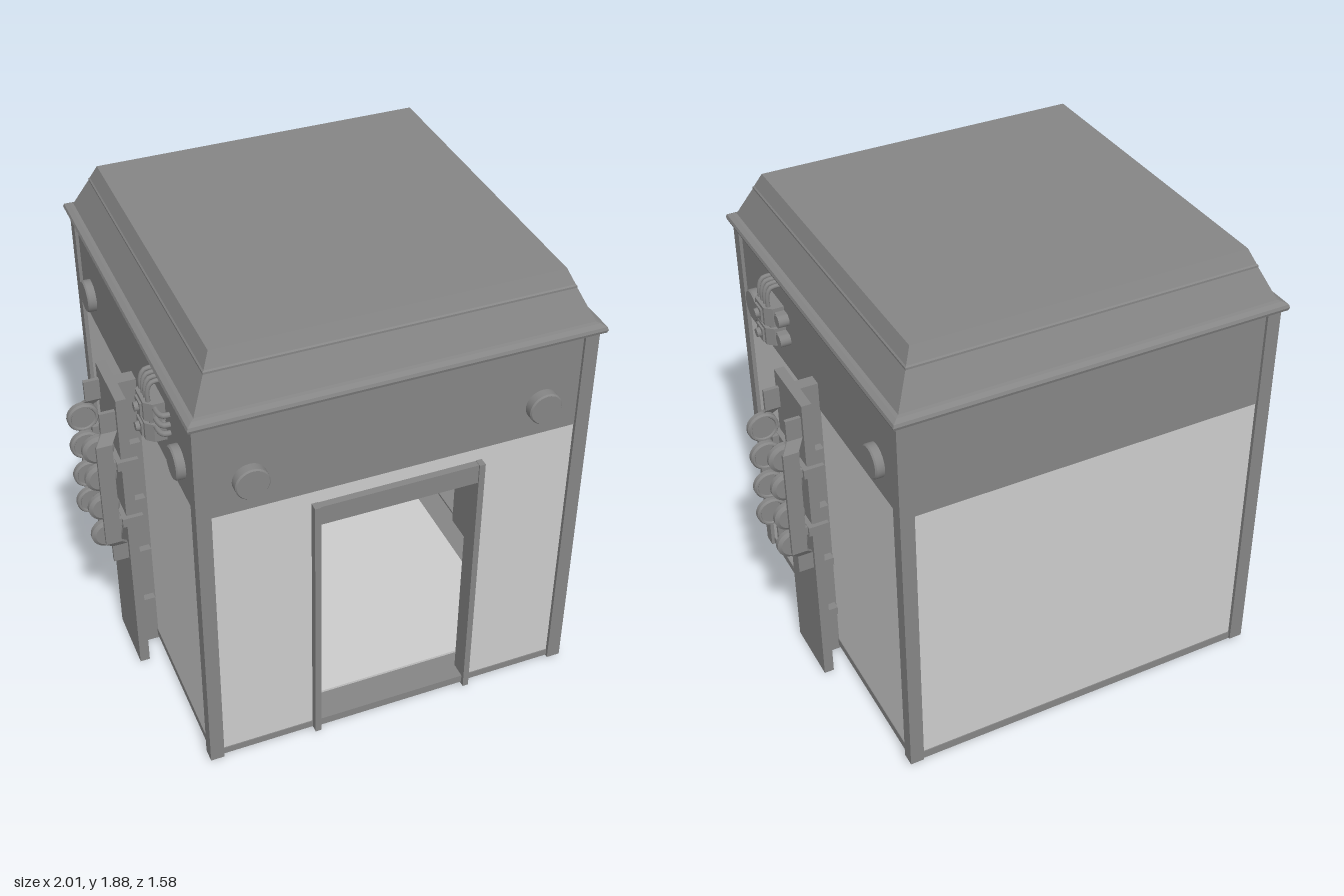
import * as THREE from 'three';
import { toCreasedNormals } from 'three/addons/utils/BufferGeometryUtils.js';

const light = new THREE.MeshStandardMaterial({ color: 0xcccccc });
const dark = new THREE.MeshStandardMaterial({ color: 0x858585 });
const V = (x, y, z) => new THREE.Vector3(x, y, z);

// Box given by its minimum and maximum on each axis
function box(x0, x1, y0, y1, z0, z1) {
  return new THREE.BoxGeometry(x1 - x0, y1 - y0, z1 - z0)
    .translate((x0 + x1) / 2, (y0 + y1) / 2, (z0 + z1) / 2);
}

function turned(profile, segments = 24) {
  const points = profile.map(([r, y]) => new THREE.Vector2(r, y));
  return toCreasedNormals(new THREE.LatheGeometry(points, segments), 0.6);
}

function tube(points, radius) {
  return new THREE.TubeGeometry(new THREE.CatmullRomCurve3(points), 10, radius, 8);
}

// Reflection in x with the triangle winding restored
function mirrored(geo) {
  const g = geo.index ? geo.toNonIndexed() : geo.clone();
  g.scale(-1, 1, 1);
  for (const attr of Object.values(g.attributes)) {
    const n = attr.itemSize, a = attr.array;
    for (let i = 0; i < attr.count; i += 3) {
      for (let k = 0; k < n; k++) {
        const p = (i + 1) * n + k, q = (i + 2) * n + k;
        [a[p], a[q]] = [a[q], a[p]];
      }
    }
  }
  return g;
}

function add(parent, name, geo, mat = dark) {
  const mesh = new THREE.Mesh(geo, mat);
  mesh.name = name;
  parent.add(mesh);
  return mesh;
}

// Bar that bows outward between its two ends
function bowedRail(side) {
  const path = [
    [0.895, 0.57, 0.108], [0.895, 0.65, 0.108], [0.925, 0.69, 0.136],
    [0.925, 1.17, 0.136], [0.895, 1.21, 0.108], [0.895, 1.3, 0.108],
  ];
  const g = new THREE.BoxGeometry(0.062, 5, 0.016, 1, 5, 1);
  const p = g.attributes.position;
  for (let i = 0; i < p.count; i++) {
    const [x, y, z] = path[Math.round(p.getY(i) + 2.5)];
    p.setXYZ(i, p.getX(i) + x, y, p.getZ(i) + z * side);
  }
  return toCreasedNormals(g, 0.3);
}

export function createModel() {
  const model = new THREE.Group();
  model.name = 'hut';
  const body = new THREE.Group();
  body.name = 'body';
  body.position.set(-0.006, 0, -0.008);
  model.add(body);
  const both = (name, geo, mat) => {
    add(body, name + 'Left', geo, mat);
    add(body, name + 'Right', mirrored(geo), mat);
  };

  // Floor and skirting
  add(body, 'floorBase', box(-0.755, 0.755, 0.02, 0.045, -0.752, 0.752));
  add(body, 'floorSlab', box(-0.62, 0.62, 0.045, 0.055, -0.62, 0.62), light);
  both('sideSkirting', box(0.725, 0.755, 0.03, 0.055, -0.74, 0.74));
  add(body, 'backSkirting', box(-0.74, 0.74, 0.03, 0.055, -0.752, -0.72));

  // Walls: pale lower panels, dark upper band
  both('sideWall', box(0.732, 0.752, 0.05, 1.24, -0.74, 0.74), light);
  both('sideBand', box(0.732, 0.755, 1.24, 1.655, -0.74, 0.74));
  add(body, 'backWall', box(-0.74, 0.74, 0.05, 1.24, -0.748, -0.728), light);
  add(body, 'backBand', box(-0.74, 0.74, 1.24, 1.655, -0.751, -0.728));
  add(body, 'frontBand', box(-0.74, 0.74, 1.24, 1.655, 0.728, 0.751));

  // Front wall with doorway
  const front = new THREE.Shape([[-0.74, 0.045], [-0.33, 0.045], [-0.33, 1.17], [0.33, 1.17],
    [0.33, 0.045], [0.74, 0.045], [0.74, 1.24], [-0.74, 1.24]].map(([x, y]) => new THREE.Vector2(x, y)));
  add(body, 'frontWall', new THREE.ExtrudeGeometry(front, { depth: 0.02, bevelEnabled: false })
    .translate(0, 0, 0.728), light);
  both('frontSkirting', box(0.33, 0.74, 0.025, 0.05, 0.72, 0.752));

  // Door frame
  both('doorJamb', box(0.312, 0.336, 0.02, 1.185, 0.7, 0.782));
  add(body, 'doorLintel', box(-0.312, 0.312, 1.1, 1.183, 0.705, 0.776));
  add(body, 'doorSill', box(-0.312, 0.312, 0.03, 0.065, 0.705, 0.765));

  // Corner posts
  for (const s of [-1, 1]) {
    const z = 0.735 * s;
    both(s > 0 ? 'frontCornerPost' : 'backCornerPost',
      box(0.712, 0.768, s > 0 ? 0.015 : 0.025, 1.66, z - 0.028, z + 0.028));
  }

  // Stepped roof on a rounded rim
  const roofMat = dark.clone();
  roofMat.flatShading = true;
  const profile = [[0, 1.645], [0.765, 1.645], [0.783, 1.654], [0.787, 1.666], [0.783, 1.678],
    [0.765, 1.687], [0.752, 1.69], [0.695, 1.812], [0.695, 1.82], [0.69, 1.825], [0.664, 1.882], [0, 1.882]]
    .map(([h, y]) => new THREE.Vector2(h * Math.SQRT2, y));
  add(body, 'roof', new THREE.LatheGeometry(profile, 4, Math.PI / 4).toNonIndexed(), roofMat);

  // Round wall lamps on the front and the sides
  const lamp = turned([[0, 0], [0.065, 0], [0.065, 0.036], [0.06, 0.042], [0, 0.042]], 32);
  both('frontLamp', lamp.clone().rotateX(Math.PI / 2).translate(0.565, 1.375, 0.748));
  for (const z of [0.57, -0.56]) {
    both('sideLamp', lamp.clone().rotateZ(-Math.PI / 2).translate(0.748, 1.375, z));
  }

  // H-section beam through each side wall
  both('beamOuterFlange', box(0.825, 0.865, 0, 1.36, -0.133, 0.137));
  both('beamWeb', box(0.745, 0.83, 0, 1.36, -0.025, 0.03));
  both('beamInnerFlange', box(0.705, 0.745, 0, 1.36, -0.133, 0.137));
  for (const y of [0.245, 0.515]) both('beamLug', box(0.76, 0.83, y - 0.018, y + 0.018, -0.06, 0.06));
  for (const y of [0.785, 1.065]) {
    both('clampBar', box(0.862, 0.885, y - 0.02, y + 0.02, -0.155, 0.155));
    both('clampInner', box(0.765, 0.825, y - 0.02, y + 0.02, -0.06, 0.06));
    for (const s of [-1, 1]) {
      const z = 0.146 * s;
      both('clampArm', box(0.802, 0.885, y - 0.02, y + 0.02, z - 0.009, z + 0.009));
      both('clampTip', box(0.88, 0.91, y - 0.018, y + 0.018, s * 0.12 - 0.022, s * 0.12 + 0.022));
    }
  }

  // Two racks of four discs, each carried by a bowed rail
  const disc = turned([[0, -0.018], [0.048, -0.018], [0.062, -0.008], [0.062, 0.01],
    [0.056, 0.018], [0.05, 0.018], [0.046, 0.012], [0, 0.012]]);
  for (const s of [-1, 1]) {
    both('discRail', bowedRail(s));
    for (const y of [0.725, 0.86, 1.005, 1.14]) {
      both('disc', disc.clone().rotateX(-s * Math.PI / 2).translate(0.942, y, 0.108 * s));
    }
  }

  // Control box with chamfered sides
  const plan = new THREE.Shape([[0.75, -0.07], [0.8, -0.07], [0.828, -0.045], [0.828, 0.045],
    [0.8, 0.07], [0.75, 0.07]].map(([x, z]) => new THREE.Vector2(x, -z)));
  const zc = 0.35;
  const slab = (y0, y1) => new THREE.ExtrudeGeometry(plan, { depth: y1 - y0, bevelEnabled: false })
    .rotateX(-Math.PI / 2).translate(0, y0, zc);
  both('controlBoxBottom', slab(1.36, 1.435));
  both('controlBoxTop', slab(1.447, 1.525));
  both('controlBoxCore', box(0.75, 0.81, 1.43, 1.45, zc - 0.055, zc + 0.055));
  for (const y of [1.395, 1.483]) {
    both('socketPlate', box(0.825, 0.836, y - 0.028, y + 0.028, zc - 0.03, zc + 0.03));
    both('knob', new THREE.CylinderGeometry(0.017, 0.02, 0.018, 16).rotateZ(-Math.PI / 2).translate(0.842, y, zc));
    // Rounded lug on the rear edge
    both('roundLug', new THREE.CylinderGeometry(0.026, 0.026, 0.045, 16).rotateZ(Math.PI / 2)
      .translate(0.775, y, zc - 0.095));
    both('lugNeck', box(0.755, 0.795, y - 0.026, y + 0.026, zc - 0.095, zc - 0.06));
  }
  // Pipes curving from the box into the wall
  for (let i = 0; i < 4; i++) {
    const z = zc - 0.042 + i * 0.028;
    both('topPipe', tube([V(0.807, 1.51, z), V(0.807, 1.57, z), V(0.793, 1.6, z), V(0.75, 1.605, z)], 0.009));
  }
  for (const y of [1.425, 1.462, 1.505]) {
    both('sidePipe', tube([V(0.79, y, zc + 0.05), V(0.79, y, zc + 0.09),
      V(0.78, y, zc + 0.115), V(0.745, y, zc + 0.12)], 0.011));
  }
  return model;
}
